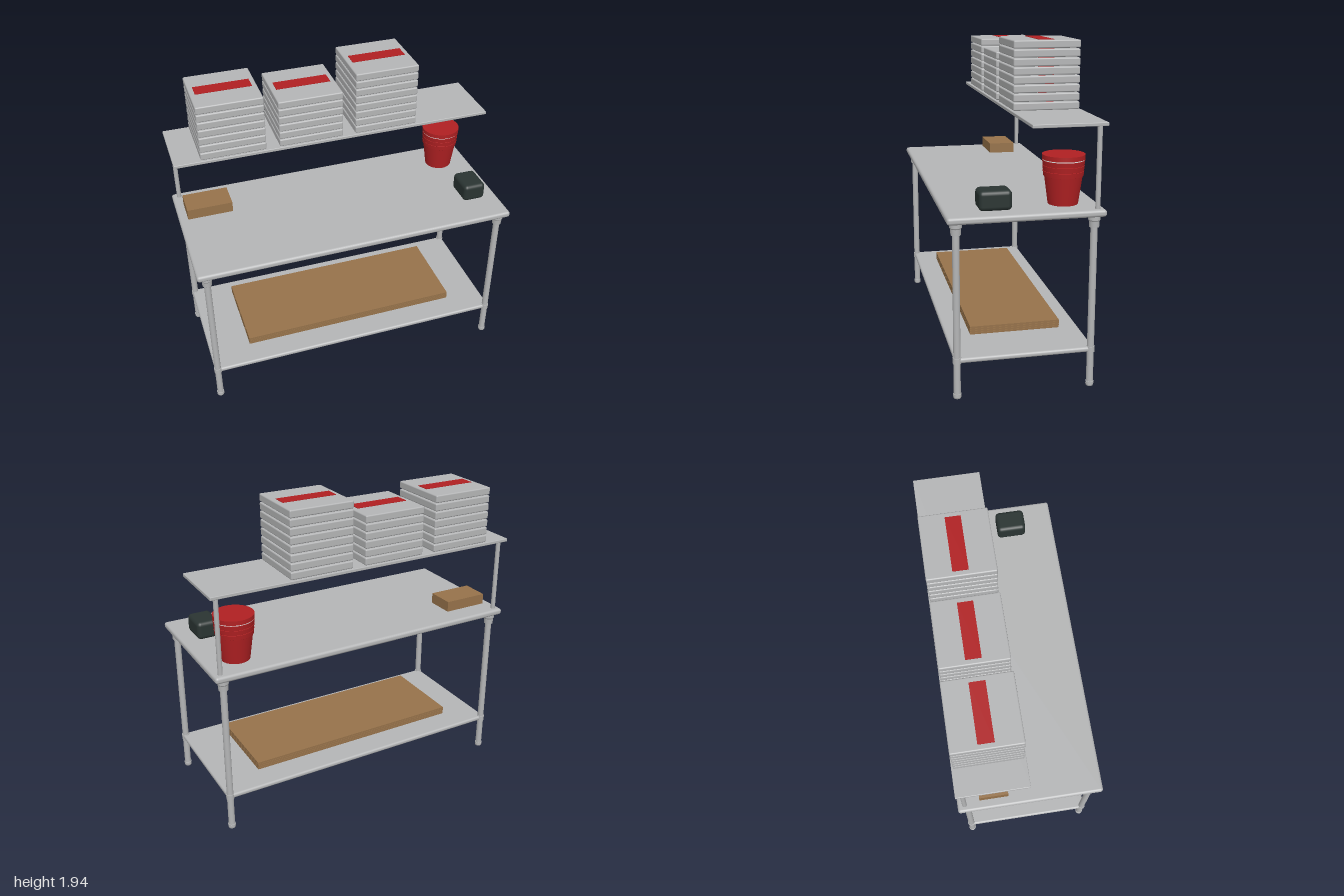
import * as THREE from 'three';
import { RoundedBoxGeometry } from 'three/addons/geometries/RoundedBoxGeometry.js';

const material = (name, color) => {
  const m = new THREE.MeshStandardMaterial({ color });
  m.name = name;
  return m;
};

export function createModel() {
  const root = new THREE.Group();
  root.name = 'workTable';
  const steel = material('steel grey', 0xb4b5b6);
  const red = material('red', 0xb02022);
  const cardboard = material('cardboard brown', 0x96724a);
  const charcoal = material('charcoal', 0x2a3432);
  const white = material('white', 0xe4e4e4);

  const add = (name, geometry, mat, x, y, z, parent = root) => {
    const mesh = new THREE.Mesh(geometry, mat);
    mesh.name = name;
    mesh.position.set(x, y, z);
    parent.add(mesh);
    return mesh;
  };
  // Block given by its limits on each axis; r > 0 rounds the edges
  const block = (name, mat, [x0, x1], [y0, y1], [z0, z1], r = 0, parent = root) => {
    const size = [x1 - x0, y1 - y0, z1 - z0];
    const geometry = r ? new RoundedBoxGeometry(...size, 3, r) : new THREE.BoxGeometry(...size);
    return add(name, geometry, mat, (x0 + x1) / 2, (y0 + y1) / 2, (z0 + z1) / 2, parent);
  };
  // Hard-edged turned part: a cylinder section per pair of profile points
  const turned = (name, profile, mat, x, z, segments = 24) => {
    const pts = [];
    profile.forEach(([r, y], i) => {
      pts.push(new THREE.Vector2(r, y));
      if (i > 0 && i < profile.length - 1) pts.push(new THREE.Vector2(r, y + 0.0002));
    });
    return add(name, new THREE.LatheGeometry(pts, segments), mat, x, 0, z);
  };

  // Worktop and shelves
  block('worktop', steel, [-1, 1], [1.015, 1.055], [-0.44, 0.44], 0.016);
  block('lowerShelf', steel, [-0.958, 0.958], [0.21, 0.24], [-0.4, 0.4], 0.013);
  block('upperShelf', steel, [-1, 1], [1.515, 1.535], [-0.432, -0.015], 0.004);
  block('frontRail', steel, [-0.93, 0.93], [0.984, 1.016], [0.37, 0.4], 0.012);

  // Legs with feet, shelf rings and collars
  for (const x of [-0.94, 0.94]) {
    for (const z of [-0.385, 0.385]) {
      add('leg', new THREE.CylinderGeometry(0.02, 0.02, 0.99, 24), steel, x, 0.52, z);
      turned('foot', [[0, 0], [0.02, 0], [0.023, 0.008], [0.023, 0.026], [0, 0.03]], steel, x, z);
      add('shelfRing', new THREE.CylinderGeometry(0.024, 0.024, 0.034, 24), steel, x, 0.225, z);
      turned('collar', [[0, 0.948], [0.028, 0.948], [0.03, 0.983], [0.034, 0.99], [0.034, 1.016], [0, 1.016]],
        steel, x, z);
    }
    // Post carrying the upper shelf
    const side = Math.sign(x);
    add('shelfPost', new THREE.CylinderGeometry(0.014, 0.014, 0.47, 20), steel, side * 0.957, 1.284, -0.397);
  }

  // Three stacks of flat boxes, each box with a label strip on its lid
  const boxGeometry = new RoundedBoxGeometry(0.398, 0.046, 0.395, 2, 0.008);
  const labelGeometry = new THREE.BoxGeometry(0.336, 0.003, 0.09);
  for (const [x, count] of [[-0.64, 7], [-0.16, 6], [0.318, 8]]) {
    const stack = new THREE.Group();
    stack.name = 'boxStack';
    root.add(stack);
    for (let i = 0; i < count; i++) {
      const y = 1.535 + i * 0.0505;
      add('flatBox', boxGeometry, steel, x, y + 0.023, -0.223, stack);
      add('boxLabel', labelGeometry, red, x, y + 0.0472, -0.226, stack);
    }
  }

  // Nested tubs: tapered body, three overlapping rims and a lid
  turned('tubBody', [
    [0, 1.055], [0.085, 1.055], [0.107, 1.215],
    [0.112, 1.215], [0.115, 1.243], [0.11, 1.245],
    [0.114, 1.245], [0.117, 1.273], [0.112, 1.275],
    [0.116, 1.275], [0.119, 1.303], [0, 1.303],
  ], red, 0.8, -0.245, 36);
  add('tubSeal', new THREE.CylinderGeometry(0.117, 0.117, 0.008, 36), white, 0.8, 1.306, -0.245);
  turned('tubLid', [[0, 1.309], [0.12, 1.309], [0.12, 1.335], [0, 1.335]], red, 0.8, -0.245, 36);

  // Small items on the worktop
  block('darkCase', charcoal, [0.765, 0.908], [1.055, 1.167], [0.065, 0.25], 0.025);
  block('smallCarton', cardboard, [-0.945, -0.66], [1.055, 1.122], [-0.305, -0.13]);

  // Stacked sheets above the lower shelf
  for (let i = 0; i < 4; i++) {
    const y = 0.263 + i * 0.0125;
    block('sheet', cardboard, [-0.7, 0.7], [y, y + 0.0112], [-0.267, 0.267]);
  }

  return root;
}
